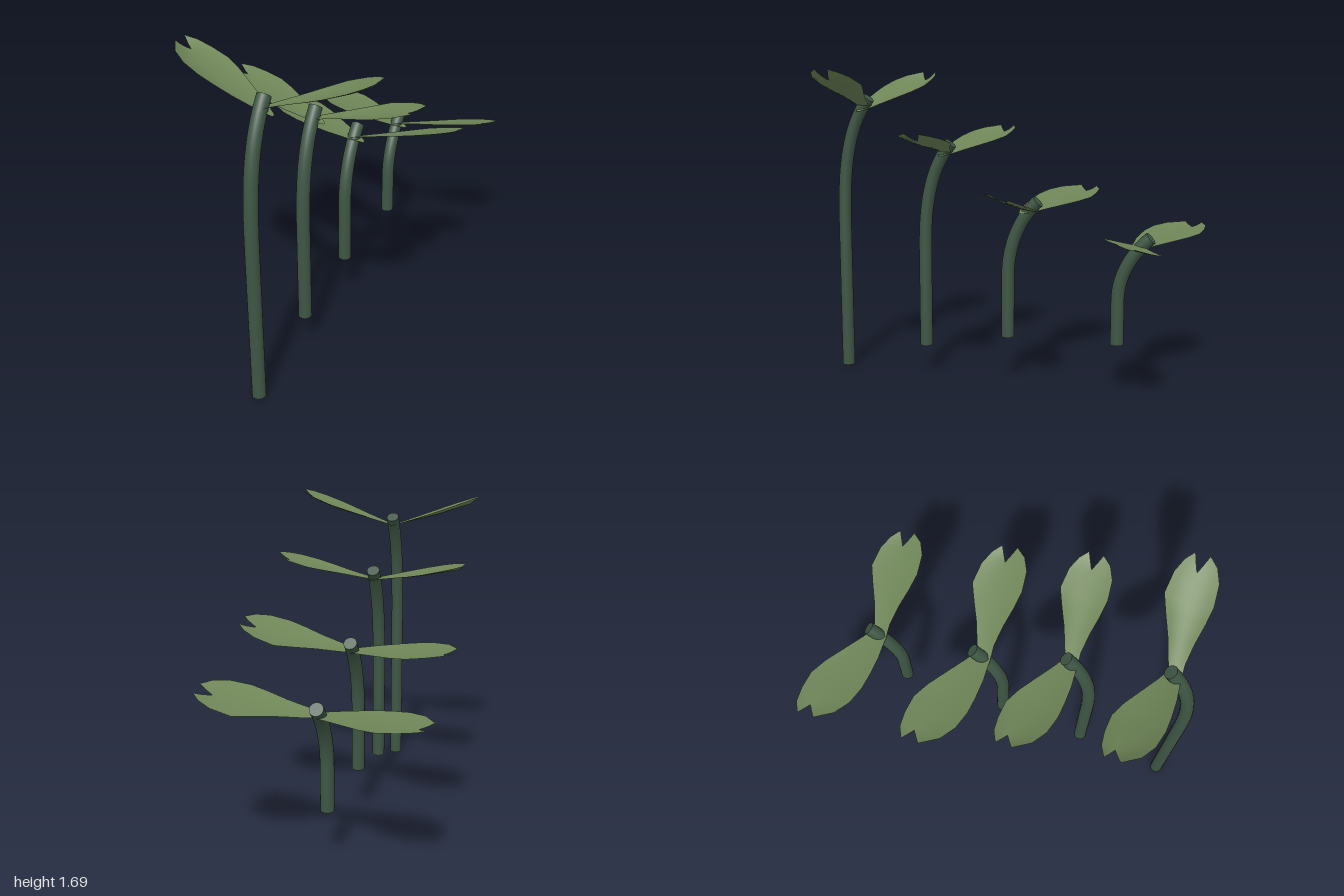
import * as THREE from 'three';

const stemMaterial = new THREE.MeshStandardMaterial({ color: 0x3e5644 });
const leafMaterial = new THREE.MeshStandardMaterial({ color: 0x6e8557, side: THREE.DoubleSide });
const STEM_X = -0.012;
const STEM_RADIUS = 0.035;

// Leaf cross-sections: [distance from stem, back edge z, front edge z]
const LEFT_SIDE_ROWS = [
  [0, 0.03, 0.1], [0.07, 0, 0.095], [0.175, -0.04, 0.11], [0.28, -0.09, 0.135],
  [0.37, -0.13, 0.15], [0.48, -0.115, 0.14], [0.55, -0.08, 0.105], [0.595, -0.035, 0.05],
];
const RIGHT_SIDE_ROWS = [
  [-0.07, 0.06, 0.085], [0, 0, 0.1], [0.035, -0.02, 0.1], [0.13, -0.085, 0.105], [0.24, -0.16, 0.1],
  [0.33, -0.205, 0.09], [0.43, -0.215, 0.06], [0.51, -0.21, 0.005], [0.57, -0.18, -0.09],
];

// Sprouts, front to back. rise/roll: leaf slope outwards and towards the front
const SPROUTS = [
  { z: 0.968, bottom: 0, bend: 0.8, tip: [1.535, 0.805], lean: 38, leafY: 1.485, scaleX: 0.92, scaleZ: 0.85,
    shift: -0.026, cup: 0.025, left: { rise: 0.37, roll: 0 }, right: { rise: 0.37, roll: 0 } },
  { z: 0.473, bottom: 0.16, bend: 0.7, tip: [1.295, 0.317], lean: 40, leafY: 1.245, scaleX: 0.93, scaleZ: 0.88,
    shift: -0.026, cup: 0.02, left: { rise: 0.24, roll: 0.02 }, right: { rise: 0.24, roll: 0 } },
  { z: -0.01, bottom: 0.25, bend: 0.58, tip: [1.0, -0.178], lean: 47, leafY: 0.95, scaleX: 1, scaleZ: 1,
    shift: 0, cup: 0.014, left: { rise: 0.255, roll: 0.25 }, right: { rise: 0.155, roll: 0.04 } },
  { z: -0.615, bottom: 0.26, bend: 0.5, tip: [0.835, -0.783], lean: 50, leafY: 0.79, scaleX: 1, scaleZ: 1,
    shift: 0, cup: 0.012, left: { rise: 0.19, roll: 0.25 }, right: { rise: 0.11, roll: 0.03 } },
];

// Notched leaf blade lofted through its cross-sections
function makeLeaf(name, rows, side, sprout, { rise, roll }) {
  const columns = 8;
  const positions = [];
  const indices = [];
  rows.forEach(([d, back, front], r) => {
    const along = Math.max(d, 0) / 0.6;
    for (let c = 0; c <= columns; c++) {
      const v = c / columns;
      const middle = 1 - Math.abs(2 * v - 1);
      const notched = d * (1 - 0.14 * middle * along ** 4);
      const z = THREE.MathUtils.lerp(back, front, v);
      const dip = sprout.cup * (1 - (2 * v - 1) ** 2) * Math.min(1, along * 2);
      const y = sprout.leafY + rise * notched * sprout.scaleX + roll * (z - 0.06) - dip;
      positions.push(side * notched * sprout.scaleX, y, z * sprout.scaleZ + sprout.shift);
      if (r && c) {
        const b = r * (columns + 1) + c;
        const a = b - columns - 1;
        if (side > 0) indices.push(a - 1, a, b, a - 1, b, b - 1);
        else indices.push(a - 1, b, a, a - 1, b - 1, b);
      }
    }
  });
  const geometry = new THREE.BufferGeometry();
  geometry.setAttribute('position', new THREE.Float32BufferAttribute(positions, 3));
  geometry.setIndex(indices);
  geometry.computeVertexNormals();
  const leaf = new THREE.Mesh(geometry, leafMaterial);
  leaf.name = name;
  leaf.position.set(STEM_X, 0, sprout.tip[1]);
  return leaf;
}

// Upright stem bending backwards, closed by flat discs
function makeStem({ z, bottom, bend, tip: [tipY, tipZ], lean }) {
  const point = (y, pz) => new THREE.Vector3(STEM_X, y, pz);
  const angle = THREE.MathUtils.degToRad(lean);
  const direction = new THREE.Vector3(0, Math.cos(angle), -Math.sin(angle));
  const height = tipY - bend;
  const end = point(tipY, tipZ);
  const path = new THREE.CurvePath();
  path.add(new THREE.LineCurve3(point(bottom, z), point(bend, z)));
  path.add(new THREE.CubicBezierCurve3(
    point(bend, z), point(bend + height * 0.43, z),
    end.clone().addScaledVector(direction, -height * 0.32), end));

  const stem = new THREE.Group();
  stem.name = 'stem';
  const stalk = new THREE.Mesh(new THREE.TubeGeometry(path, 40, STEM_RADIUS, 20), stemMaterial);
  stalk.name = 'stalk';
  stem.add(stalk);
  const ends = [['stemBase', point(bottom, z), new THREE.Vector3(0, -1, 0)], ['stemTip', end, direction]];
  for (const [name, position, normal] of ends) {
    const cap = new THREE.Mesh(new THREE.CircleGeometry(STEM_RADIUS, 20), stemMaterial);
    cap.name = name;
    cap.position.copy(position);
    cap.quaternion.setFromUnitVectors(new THREE.Vector3(0, 0, 1), normal);
    stem.add(cap);
  }
  return stem;
}

export function createModel() {
  const model = new THREE.Group();
  model.name = 'sproutRow';
  SPROUTS.forEach((sprout, i) => {
    const group = new THREE.Group();
    group.name = `sprout${i + 1}`;
    group.add(
      makeStem(sprout),
      makeLeaf('leftLeaf', LEFT_SIDE_ROWS, 1, sprout, sprout.left),
      makeLeaf('rightLeaf', RIGHT_SIDE_ROWS, -1, sprout, sprout.right));
    model.add(group);
  });
  return model;
}
